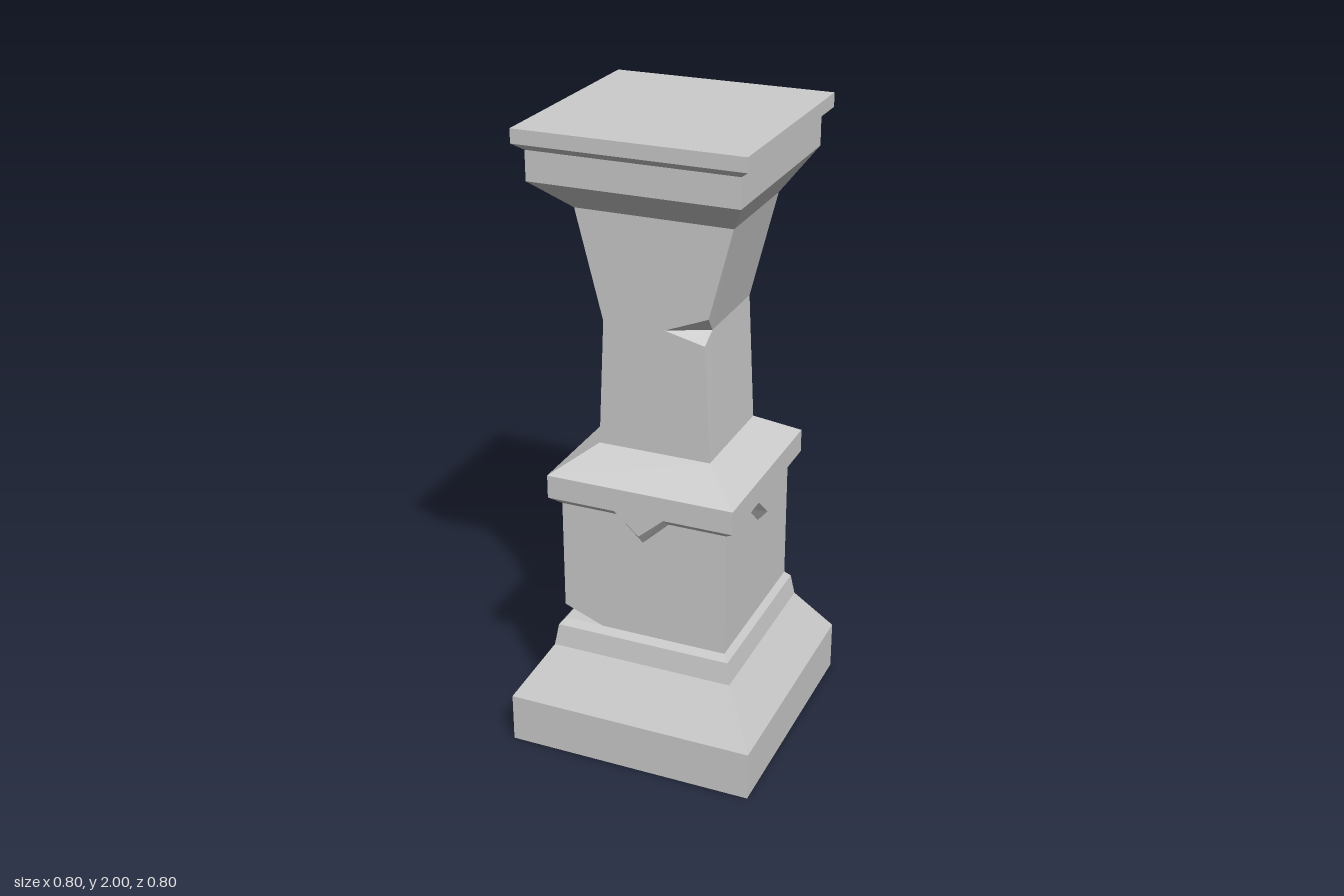
import * as THREE from 'three';

// Builds a mesh from convex or star-shaped polygons, each fanned from its first corner
function faceMesh(name, polygons) {
  const pos = [];
  for (const p of polygons) {
    for (let i = 1; i < p.length - 1; i++) pos.push(...p[0], ...p[i], ...p[i + 1]);
  }
  const geo = new THREE.BufferGeometry();
  geo.setAttribute('position', new THREE.Float32BufferAttribute(pos, 3));
  geo.computeVertexNormals();
  const mat = new THREE.MeshStandardMaterial({
    color: 0xcccccc, flatShading: true, side: THREE.DoubleSide,
  });
  const mesh = new THREE.Mesh(geo, mat);
  mesh.name = name;
  return mesh;
}

// Rectangular rings [y, halfX, halfZ], joined upwards
const ring = ([y, x, z = x]) => [[x, y, z], [x, y, -z], [-x, y, -z], [-x, y, z]];
function loft(rows, capTop = false) {
  const rings = rows.map(ring);
  const polys = [];
  for (let r = 0; r < rings.length - 1; r++) {
    for (let i = 0; i < 4; i++) {
      const j = (i + 1) % 4;
      polys.push([rings[r][i], rings[r][j], rings[r + 1][j], rings[r + 1][i]]);
    }
  }
  if (capTop) polys.push(rings[rings.length - 1]);
  return polys;
}

// Repeats front-facing polygons on all four sides
function fourSides(polys) {
  const out = [];
  for (let k = 0; k < 4; k++) {
    const c = Math.round(Math.cos(k * Math.PI / 2)), s = Math.round(Math.sin(k * Math.PI / 2));
    for (const p of polys) out.push(p.map(([x, y, z]) => [x * c + z * s, y, z * c - x * s]));
  }
  return out;
}

// Square lower shaft with its front corner broken off at the foot
function lowerShaft() {
  const w = 0.268, y0 = 0.41, y1 = 0.845;
  const T = [-w, 0.46, w], A = [-0.14, y0, w], S = [-w, y0, 0.19];
  return faceMesh('lowerShaft', [
    [A, [w, y0, w], [w, y1, w], [-w, y1, w], T],
    [S, T, [-w, y1, w], [-w, y1, -w], [-w, y0, -w]],
    [[w, y0, w], [w, y0, -w], [w, y1, -w], [w, y1, w]],
    [[w, y0, -w], [-w, y0, -w], [-w, y1, -w], [w, y1, -w]],
    [T, S, A],
    [[-w, y0, w], A, S],
  ]);
}

// Collar with a pointed pendant in the middle of each side
function collar() {
  const o = 0.3, n = 0.268;
  const outer = [[-o, 0.845], [-0.08, 0.845], [0, 0.775], [0.08, 0.845], [o, 0.845]].map(([x, y]) => [x, y, o]);
  const inner = [[-n, 0.818], [-0.085, 0.818], [0, 0.738], [0.085, 0.818], [n, 0.818]].map(([x, y]) => [x, y, n]);
  const side = [[[0, 0.92, o], [-o, 0.92, o], ...outer, [o, 0.92, o]]];
  for (let i = 0; i < 4; i++) side.push([inner[i], inner[i + 1], outer[i + 1], outer[i]]);
  return faceMesh('collar', [...fourSides(side), ...loft([[0.92, o], [1, 0.18]])]);
}

// Waisted upper shaft, notched on the front edge
function upperShaft() {
  const d = 0.18, y0 = 1, ym = 1.4, y1 = 1.735, b = 0.18, m = 0.16, t = 0.245;
  const A = [0.035, ym, d], T = [0.172, 1.455, d], B = [0.161, 1.37, d], S = [m, ym, 0.12];
  return faceMesh('upperShaft', [
    // front
    [A, T, [t, y1, d], [-t, y1, d], [-m, ym, d], [-b, y0, d], [b, y0, d], B],
    // back
    [[-m, ym, -d], [-t, y1, -d], [t, y1, -d], [m, ym, -d], [b, y0, -d], [-b, y0, -d]],
    // notched side
    [S, [m, ym, -d], [t, y1, -d], [t, y1, d], T],
    [S, B, [b, y0, d], [b, y0, -d], [m, ym, -d]],
    // plain side
    [[-m, ym, -d], [-m, ym, d], [-t, y1, d], [-t, y1, -d]],
    [[-b, y0, -d], [-b, y0, d], [-m, ym, d], [-m, ym, -d]],
    // notch
    [A, S, T],
    [A, B, S],
  ]);
}

export function createModel() {
  const group = new THREE.Group();
  group.name = 'stonePillar';
  group.add(
    // Plinth, hollow and open below
    faceMesh('plinth', loft([[0, 0.4], [0.16, 0.4], [0.32, 0.296], [0.39, 0.285], [0.41, 0.268]])),
    lowerShaft(),
    collar(),
    upperShaft(),
    faceMesh('capital', loft([
      [1.735, 0.245, 0.18], [1.845, 0.32, 0.325], [1.935, 0.32, 0.325],
      [1.957, 0.348, 0.354], [2, 0.348, 0.354],
    ], true)),
  );
  return group;
}
